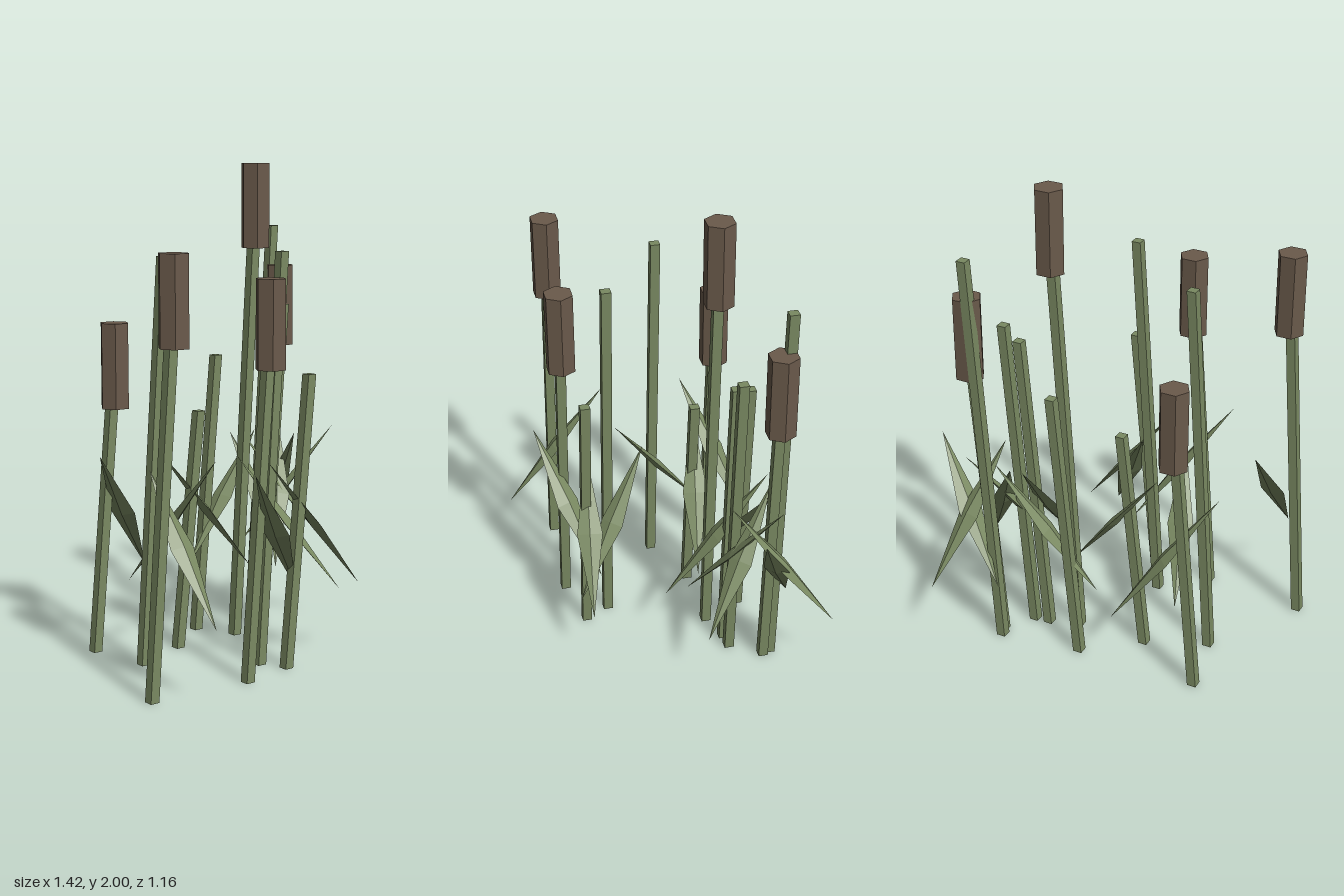
import * as THREE from 'three';

// One row per reed: base x, z, stem height, head bottom (0 = no head),
// and the horizontal direction in which the leaf's low tip points [dx, dz].
const REEDS = [
  [-0.69, 0.365, 1.53, 1.33, 0, 0.215],
  [-0.505, -0.315, 1.21, 1.01, 0.18, -0.11],
  [-0.45, -0.045, 1.64, 0, -0.073, -0.198],
  [-0.255, 0.39, 1.42, 1.22, 0.188, -0.105],
  [-0.2, -0.155, 0.99, 0, 0.209, 0.037],
  [-0.075, 0.235, 1.66, 0, 0.141, 0.163],
  [-0.02, 0.34, 1.18, 0, 0.21, 0.03],
  [0.02, -0.33, 1.19, 0, -0.21, 0.04],
  [0.105, -0.165, 1.85, 1.65, 0.005, 0.213],
  [0.23, -0.21, 1.34, 0, -0.14, 0.163],
  [0.295, -0.218, 1.4, 0, 0.136, 0.16],
  [0.365, -0.38, 1.73, 0, 0.07, -0.205],
  [0.38, -0.345, 1.41, 1.21, -0.186, -0.105],
];
const LEAN = 0.11;
const HEAD_HEIGHT = 0.35;

// Square stem whose top is shifted sideways
function stemGeometry(height) {
  const geo = new THREE.BoxGeometry(0.038, height, 0.04).translate(0, height / 2, 0);
  const pos = geo.attributes.position;
  for (let i = 0; i < pos.count; i++) {
    pos.setX(i, pos.getX(i) + LEAN * pos.getY(i) / height);
  }
  geo.computeVertexNormals();
  return geo;
}

export function createModel() {
  const green = new THREE.MeshStandardMaterial({ color: 0x7a8a62 });
  green.name = 'reed green';
  const brown = new THREE.MeshStandardMaterial({ color: 0x6a5a4b });
  brown.name = 'seed head brown';

  // Six-sided head with corners on the x axis
  const headGeo = new THREE.CylinderGeometry(0.062, 0.062, HEAD_HEIGHT, 6, 1, false, Math.PI / 6)
    .toNonIndexed();
  headGeo.computeVertexNormals();

  // Slim ridged diamond leaf, its low tip towards +z
  const leafGeo = new THREE.OctahedronGeometry(1, 0)
    .scale(0.053, 0.345, 0.017)
    .rotateX(-Math.atan2(0.215, 0.27));
  leafGeo.computeVertexNormals();

  const model = new THREE.Group();
  model.name = 'reeds';
  for (const [x, z, height, headBottom, dx, dz] of REEDS) {
    const reed = new THREE.Group();
    reed.name = 'reed';
    reed.position.set(x, 0, z);

    const stem = new THREE.Mesh(stemGeometry(height), green);
    stem.name = 'stem';
    reed.add(stem);

    const leaf = new THREE.Mesh(leafGeo, green);
    leaf.name = 'leaf';
    leaf.position.set(0.143, 0.57, 0);
    leaf.rotation.y = Math.atan2(dx, dz);
    reed.add(leaf);

    if (headBottom > 0) {
      const head = new THREE.Mesh(headGeo, brown);
      head.name = 'seedHead';
      head.position.set(LEAN, headBottom + HEAD_HEIGHT / 2, 0);
      reed.add(head);
    }
    model.add(reed);
  }
  return model;
}
